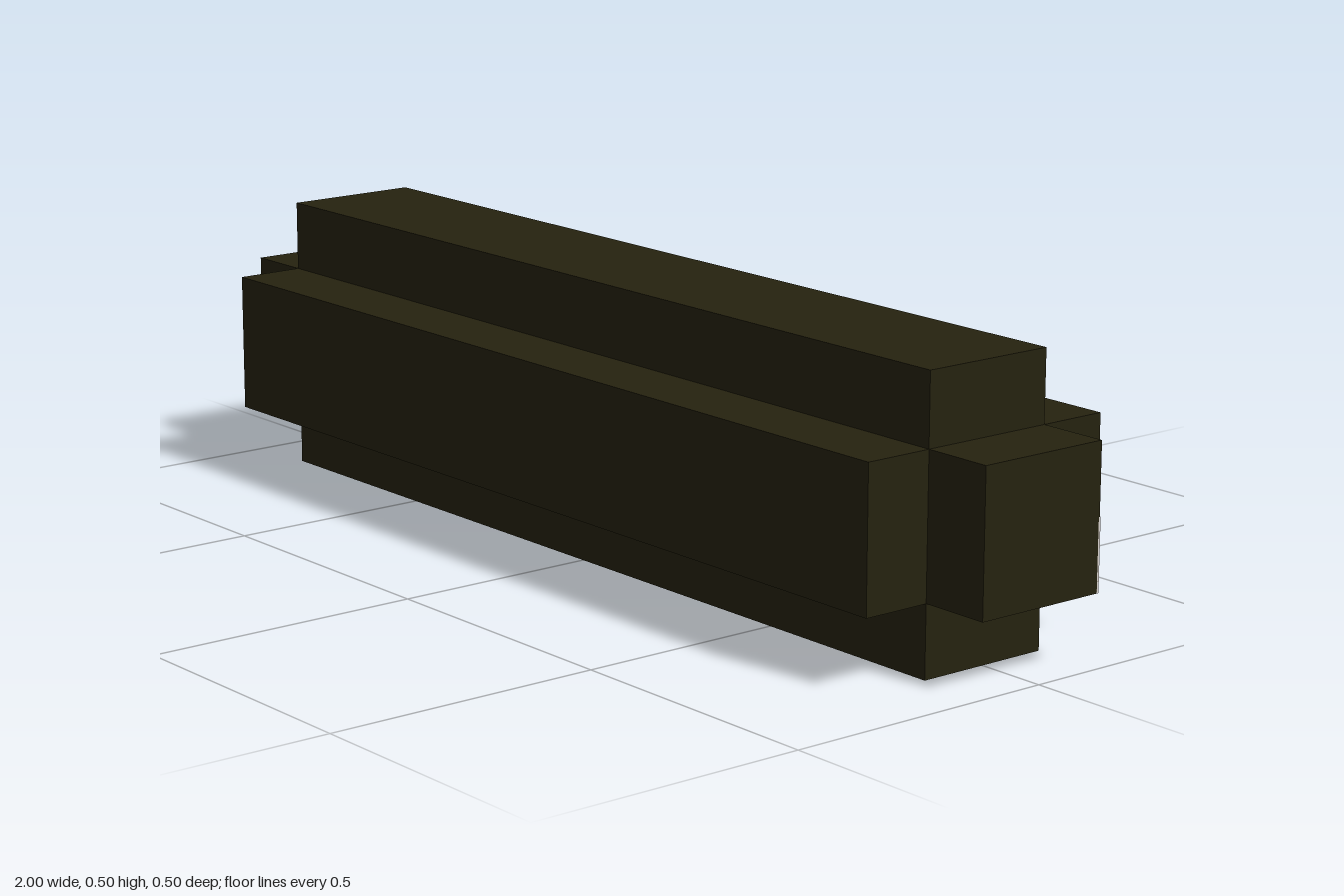
import * as THREE from 'three';

const CELL = 0.125; // module of the block grid

export function createModel() {
  const group = new THREE.Group();
  group.name = 'crossBeam';

  const darkOlive = new THREE.MeshStandardMaterial({ color: 0x25220f });
  darkOlive.name = 'darkOlive';
  const paleGrey = new THREE.MeshStandardMaterial({ color: 0xd6d0cb });
  paleGrey.name = 'paleGrey';

  function box(name, w, h, d, x, y, z, material) {
    const mesh = new THREE.Mesh(new THREE.BoxGeometry(w, h, d), material);
    mesh.name = name;
    mesh.position.set(x, y, z);
    group.add(mesh);
  }

  // Plus-shaped beam: an upright slab crossing a flat slab
  box('uprightSlab', 1.745, 0.502, 0.25, 0, 0.251, 0, darkOlive);
  box('flatSlab', 1.745, 0.25, 0.502, 0, 0.251, 0, darkOlive);

  // Square stubs at both ends
  for (const side of [-1, 1]) {
    box(side > 0 ? 'leftEndStub' : 'rightEndStub', 0.1275, 0.25, 0.25, side * 0.93625, 0.251, 0, darkOlive);
  }

  // Pale square patches on the back: lower corner x, lower corner y, depth of the face
  const patches = [
    [0.375, 0.375, -0.125], [-0.5, 0.375, -0.125],
    [0.125, 0.25, -0.251], [-0.75, 0.25, -0.251],
    [0.375, 0.125, -0.251], [-0.5, 0.125, -0.251],
    [0.25, 0.001, -0.125], [-0.625, 0.001, -0.125],
    [0.875, 0.126, -0.125],
  ];
  patches.forEach(([x, y, z], i) => {
    box(`backPatch${i + 1}`, CELL, CELL, 0.004, x + CELL / 2, y + CELL / 2, z, paleGrey);
  });

  return group;
}
